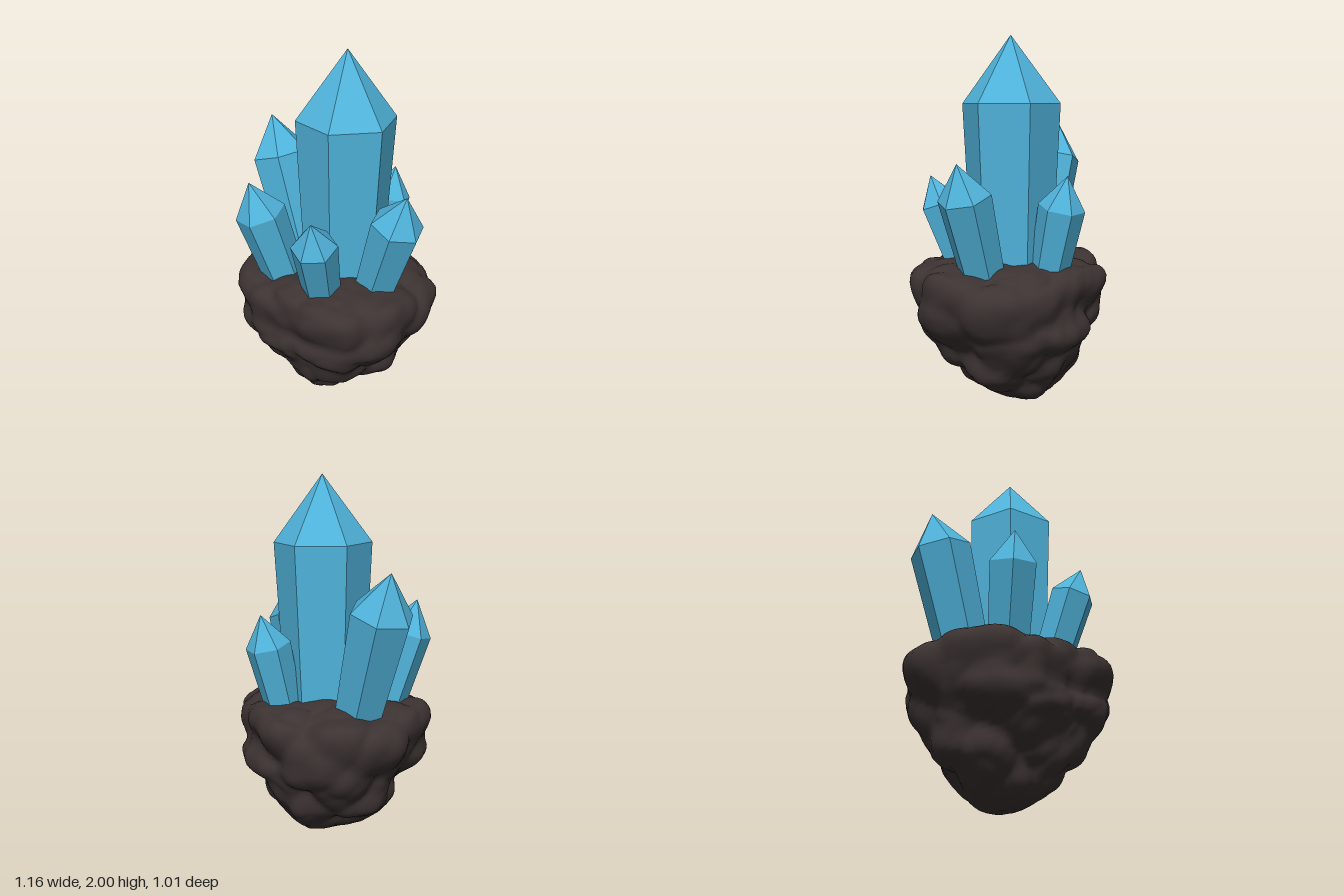
import * as THREE from 'three';
import { mergeGeometries } from 'three/addons/utils/BufferGeometryUtils.js';

const crystalBlue = new THREE.MeshStandardMaterial({ color: 0x50b4dc });
crystalBlue.name = 'crystal blue';
const darkRock = new THREE.MeshStandardMaterial({ color: 0x3c3332 });
darkRock.name = 'dark rock';

function seeded(seed) {
  return () => {
    seed = (seed * 16807) % 2147483647;
    return seed / 2147483647;
  };
}

// Six-sided tapered shaft with a pointed cap, running from base to tip
function crystal(name, base, tip, baseRadius, radius, capHeight, roll) {
  const start = new THREE.Vector3(...base);
  const axis = new THREE.Vector3(...tip).sub(start);
  const sunk = 0.12;
  const shaftHeight = axis.length() - capHeight;
  const shaft = new THREE.CylinderGeometry(radius, baseRadius, shaftHeight + sunk, 6, 1, true, roll);
  shaft.translate(0, (shaftHeight - sunk) / 2, 0);
  const cap = new THREE.ConeGeometry(radius, capHeight, 6, 1, true, roll);
  cap.translate(0, shaftHeight + capHeight / 2, 0);
  const geometry = mergeGeometries([shaft.toNonIndexed(), cap.toNonIndexed()]);
  geometry.computeVertexNormals(); // flat facets
  const mesh = new THREE.Mesh(geometry, crystalBlue);
  mesh.name = name;
  mesh.position.copy(start);
  mesh.quaternion.setFromUnitVectors(new THREE.Vector3(0, 1, 0), axis.normalize());
  return mesh;
}

// Lumpy rock: lobed rings along a profile, pushed out by rounded bumps
function rock() {
  // fraction of the outline in x, height, fraction of the outline in z
  const profile = new THREE.CatmullRomCurve3([
    [0, 0.01, 0], [0.1, 0.01, 0.22], [0.2, 0.045, 0.38], [0.33, 0.1, 0.49],
    [0.5, 0.18, 0.58], [0.66, 0.25, 0.68], [0.73, 0.36, 0.8], [0.82, 0.44, 0.94],
    [0.9, 0.5, 0.96], [0.96, 0.56, 0.92], [0.99, 0.63, 0.96], [0.99, 0.7, 0.99],
    [0.92, 0.765, 0.92], [0.76, 0.785, 0.76], [0.4, 0.8, 0.4], [0, 0.82, 0],
  ].map((p) => new THREE.Vector3(...p)));
  // outline radius every 15 degrees, from +z toward +x
  const outline = [
    0.48, 0.495, 0.53, 0.535, 0.58, 0.59, 0.575, 0.6, 0.565, 0.575, 0.57, 0.52,
    0.485, 0.5, 0.53, 0.515, 0.535, 0.555, 0.54, 0.56, 0.545, 0.545, 0.55, 0.515,
  ];
  const onSurface = (t, a) => {
    const p = profile.getPointAt(t);
    const step = (a / (Math.PI * 2)) * outline.length;
    const k = Math.floor(step) % outline.length;
    const blend = THREE.MathUtils.smoothstep(step - Math.floor(step), 0, 1);
    const r = THREE.MathUtils.lerp(outline[k], outline[(k + 1) % outline.length], blend);
    return new THREE.Vector3(r * p.x * Math.sin(a), p.y, r * p.z * Math.cos(a));
  };

  const random = seeded(4217);
  const scatter = (count) => Array.from({ length: count }, (_, i) =>
    onSurface(0.06 + 0.92 * (i + random()) / count, i * 2.4 + random() * 0.9));
  const bigLumps = scatter(54);
  const smallLumps = scatter(230);
  const bump = (p, lumps, size) => {
    let nearest = Infinity;
    for (const c of lumps) nearest = Math.min(nearest, p.distanceToSquared(c));
    return Math.max(0, 1 - nearest / (size * size));
  };

  const columns = 120, rows = 80;
  const positions = [], index = [];
  for (let j = 0; j <= rows; j++) {
    for (let i = 0; i < columns; i++) {
      const p = onSurface(j / rows, (i / columns) * Math.PI * 2);
      const out = new THREE.Vector3(p.x, 1.2 * (p.y - 0.45), p.z).normalize();
      const fade = Math.min(1, 0.1 + p.y / 0.15); // calmer toward the foot
      const push = 0.068 * (bump(p, bigLumps, 0.21) - 0.62) + 0.014 * (bump(p, smallLumps, 0.085) - 0.4);
      p.addScaledVector(out, push * fade);
      positions.push(p.x, Math.max(0, p.y), p.z);
      if (j === rows) continue;
      const a = j * columns + i, b = j * columns + ((i + 1) % columns);
      index.push(a, b, b + columns, a, b + columns, a + columns);
    }
  }
  const geometry = new THREE.BufferGeometry();
  geometry.setAttribute('position', new THREE.Float32BufferAttribute(positions, 3));
  geometry.setIndex(index);
  geometry.computeVertexNormals();
  const mesh = new THREE.Mesh(geometry, darkRock);
  mesh.name = 'rockBase';
  return mesh;
}

export function createModel() {
  const group = new THREE.Group();
  group.name = 'crystalCluster';
  const side = Math.PI / 2; // turns a crystal edge toward +x
  group.add(
    rock(),
    crystal('mainCrystal', [0.045, 0.8, -0.03], [0.055, 2.0, -0.033], 0.22, 0.263, 0.35, side),
    crystal('rightCrystal', [-0.27, 0.8, 0.02], [-0.495, 1.55, 0.05], 0.135, 0.168, 0.22, -0.17),
    crystal('leftCrystal', [0.31, 0.8, -0.04], [0.49, 1.36, -0.045], 0.115, 0.14, 0.18, side),
    crystal('frontRightCrystal', [-0.14, 0.8, 0.27], [-0.19, 1.34, 0.42], 0.115, 0.136, 0.185, side),
    crystal('frontLeftCrystal', [0.165, 0.8, 0.235], [0.26, 1.26, 0.37], 0.1, 0.12, 0.16, 0.3),
    crystal('backCrystal', [0.045, 0.8, -0.29], [0.053, 1.29, -0.4], 0.1, 0.122, 0.17, side),
  );
  return group;
}
